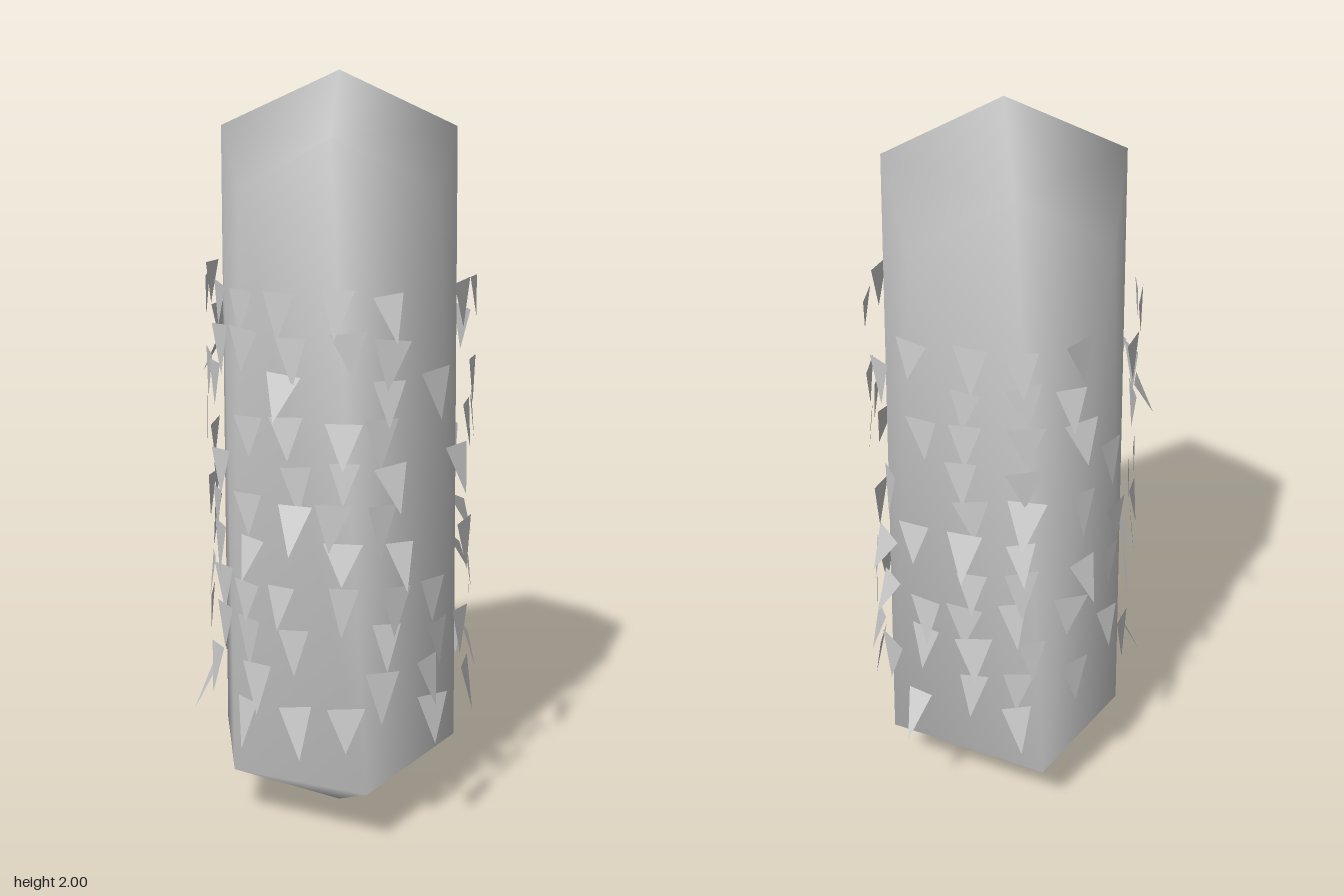
import * as THREE from 'three';
import { ConvexGeometry } from 'three/addons/geometries/ConvexGeometry.js';
import { mergeVertices } from 'three/addons/utils/BufferGeometryUtils.js';

// One string per column, counted from the front towards +x; each digit is a row from the top down
const COLUMNS = [
  '11111101101', '11011111001', '11111111110', '00100001111',
  '10011010100', '10110001111', '01001011010', '10100101101',
  '11111111110', '11111111111', '11101011010', '00010110100',
  '11101110010', '10110101101', '11101111110', '11010111111',
];

function seeded(seed) {
  return () => {
    seed = (seed * 16807) % 2147483647;
    return seed / 2147483647;
  };
}

// Smooth-shaded hull around four-cornered rings, with one extra corner low on the right
function bodyGeometry() {
  const rings = [
    [[0, 2, -0.01]],
    [[0.27, 1.86, -0.14], [0.12, 1.86, 0.265], [-0.275, 1.86, 0.115], [-0.135, 1.86, -0.28]],
    [[0.105, 1.72, -0.35], [0.325, 1.72, 0.085], [-0.11, 1.72, 0.31], [-0.33, 1.72, -0.13]],
    [[-0.315, 0.21, 0.06]],
    [[0.245, 0.16, -0.235], [0.21, 0.16, 0.235], [-0.2, 0.14, 0.22], [-0.215, 0.155, -0.265]],
    [[0, 0, -0.01]],
  ];
  const hull = new ConvexGeometry(rings.flat().map((p) => new THREE.Vector3(...p)));
  hull.deleteAttribute('normal');
  const geometry = mergeVertices(hull, 1e-4);
  geometry.computeVertexNormals();
  return geometry;
}

// Flat triangle hanging from its top edge, tip down
function scaleGeometry() {
  const geometry = new THREE.BufferGeometry();
  geometry.setAttribute('position', new THREE.Float32BufferAttribute(
    [-0.5, 0, 0, 0, -1, 0, 0.5, 0, 0], 3));
  geometry.computeVertexNormals();
  return geometry;
}

export function createModel() {
  const model = new THREE.Group();
  model.name = 'scaledCapsule';
  const material = new THREE.MeshStandardMaterial({ color: 0xcccccc });
  const thin = new THREE.MeshStandardMaterial({ color: 0xcccccc, side: THREE.DoubleSide });

  const body = new THREE.Mesh(bodyGeometry(), material);
  body.name = 'body';
  model.add(body);

  // Sixteen columns of loose scales standing just off the body
  const scales = new THREE.Group();
  scales.name = 'scales';
  const geometry = scaleGeometry();
  const random = seeded(4217);
  const jitter = (amount) => (random() * 2 - 1) * amount;
  COLUMNS.forEach((column, k) => {
    // The columns are turned slightly further on the -x side
    const even = ((k + 0.12) / 16) * Math.PI * 2;
    const columnAngle = even + 0.06 * (1 - Math.sin(even));
    [...column].forEach((digit, row) => {
      if (digit === '0') return;
      const angle = columnAngle + jitter(0.08);
      const radius = 0.344 + jitter(0.006);
      const scale = new THREE.Mesh(geometry, thin);
      scale.name = 'scale';
      scale.position.set(
        Math.sin(angle) * radius,
        1.49 - row * 0.108 + jitter(0.012),
        Math.cos(angle) * radius - 0.015,
      );
      // Most hang nearly upright, a few flick their tip outwards
      const flick = 0.02 + 0.5 * random() ** 3;
      scale.rotation.set(-flick, angle + jitter(0.2), jitter(0.12), 'YXZ');
      scale.scale.set(0.088 + jitter(0.015), 0.115 + row * 0.0015 + jitter(0.015), 1);
      scales.add(scale);
    });
  });
  model.add(scales);
  return model;
}
